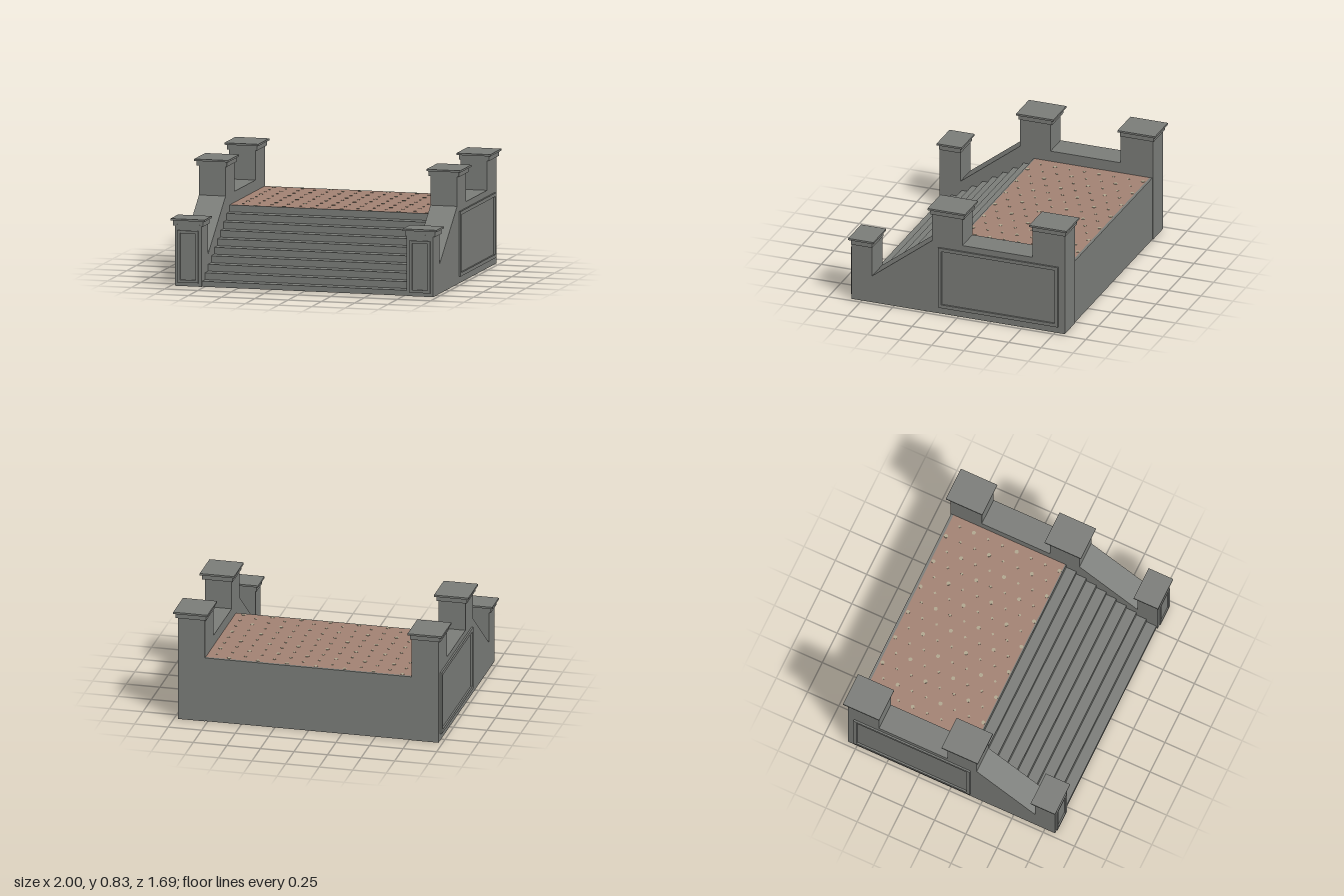
import * as THREE from 'three';

const stone = new THREE.MeshStandardMaterial({ color: 0x7b7d79, side: THREE.DoubleSide });
stone.name = 'grey stone';
const paving = new THREE.MeshStandardMaterial({ color: 0xa28273, side: THREE.DoubleSide });
paving.name = 'terracotta paving';
const inlay = new THREE.MeshStandardMaterial({ color: 0xb0a78f });
inlay.name = 'beige inlay';

const IN = 0.77, OUT = 0.97; // inner and outer faces of the side walls
const DECK = 0.49;

function add(parent, name, geometry, material = stone) {
  const mesh = new THREE.Mesh(geometry, material);
  mesh.name = name;
  parent.add(mesh);
  return mesh;
}

// Sheet swept along x through a line of [z, y] points, one flat quad per segment
function ribbon(points, x0, x1) {
  const pos = [];
  for (let i = 0; i < points.length - 1; i++) {
    const [za, ya] = points[i], [zb, yb] = points[i + 1];
    pos.push(x0, ya, za, x1, ya, za, x1, yb, zb, x0, ya, za, x1, yb, zb, x0, yb, zb);
  }
  const g = new THREE.BufferGeometry();
  g.setAttribute('position', new THREE.Float32BufferAttribute(pos, 3));
  g.computeVertexNormals();
  return g;
}

function box(parent, name, w, h, d, x, y, z) {
  add(parent, name, new THREE.BoxGeometry(w, h, d)).position.set(x, y, z);
}

// Rectangular moulding frame in the xy plane
function frame(w, h, border, depth) {
  const rect = (Type, a, b) => new Type([
    new THREE.Vector2(-a, -b), new THREE.Vector2(a, -b),
    new THREE.Vector2(a, b), new THREE.Vector2(-a, b)]);
  const shape = rect(THREE.Shape, w / 2, h / 2);
  shape.holes.push(rect(THREE.Path, w / 2 - border, h / 2 - border));
  const g = new THREE.ExtrudeGeometry(shape, { depth, bevelEnabled: false });
  return g.translate(0, 0, -depth / 2);
}

export function createModel() {
  const model = new THREE.Group();
  model.name = 'terraceSteps';

  // Stairs: ten risers, open underneath
  const steps = [[0.82, 0]];
  for (let i = 0; i < 10; i++) {
    const z = 0.82 - 0.08 * i, y = 0.04 + 0.05 * i;
    steps.push([z, y], [i < 9 ? z - 0.08 : 0.09, y]);
  }
  add(model, 'stairs', ribbon(steps, -IN, IN));

  // Landing with its back wall
  add(model, 'landing', ribbon([[0.09, DECK], [-0.8, DECK]], -IN, IN), paving);
  add(model, 'backWall', ribbon([[-0.8, DECK], [-0.82, DECK], [-0.82, 0]], -IN, IN));

  // Small inlaid tiles in the landing
  const inlays = new THREE.Group();
  inlays.name = 'inlays';
  model.add(inlays);
  for (let row = 0; row < 16; row++) {
    for (let col = 0; col < 7; col++) {
      const big = row % 3 === 0;
      const r = big ? 0.015 : 0.011;
      const tile = add(inlays, 'inlayTile', new THREE.CylinderGeometry(r, r, 0.003, big ? 8 : 4), inlay);
      tile.position.set(-0.69 + 0.215 * col + (row % 2 ? 0.107 : 0), DECK + 0.001, -0.78 + 0.057 * row);
    }
  }

  // Side wall outline with piers, as [z, y], open at the bottom
  const profile = [
    [0.83, 0], [0.83, 0.45], [0.67, 0.45], [0.67, 0.21], [0.205, 0.57],
    [0.205, 0.8], [-0.03, 0.8], [-0.03, 0.57], [-0.575, 0.57],
    [-0.575, 0.8], [-0.825, 0.8], [-0.825, 0],
  ];
  const outline = new THREE.Shape(profile.map(([z, y]) => new THREE.Vector2(z, y)));
  // Pier caps: centre z, depth of the upper slab, base height, top height
  const caps = [
    [0.747, 0.195, 0.44, 0.492],
    [0.083, 0.29, 0.785, 0.835],
    [-0.705, 0.29, 0.785, 0.835],
  ];

  for (const s of [1, -1]) {
    const side = new THREE.Group();
    side.name = s > 0 ? 'leftSide' : 'rightSide';
    model.add(side);

    add(side, 'wallEdges', ribbon(profile, s * IN, s * OUT));
    for (const x of [IN, OUT]) {
      const face = add(side, x === IN ? 'innerFace' : 'outerFace',
        new THREE.ShapeGeometry(outline).rotateY(-Math.PI / 2));
      face.position.x = s * x;
    }

    for (const [z, d, y0, y1] of caps) {
      const mid = y1 - 0.014;
      box(side, 'capMoulding', 0.226, mid - y0, d - 0.03, s * 0.872, (y0 + mid) / 2, z);
      box(side, 'capSlab', 0.255, y1 - mid, d, s * 0.8725, (y1 + mid) / 2, z);
    }

    // Raised mouldings on the outer wall and on the front pier
    add(side, 'sidePanelFrame', frame(0.93, 0.475, 0.026, 0.014).rotateY(Math.PI / 2))
      .position.set(s * (OUT + 0.006), 0.2875, -0.31);
    add(side, 'pierPanelFrame', frame(0.158, 0.38, 0.02, 0.012))
      .position.set(s * 0.872, 0.217, 0.835);
  }
  return model;
}
